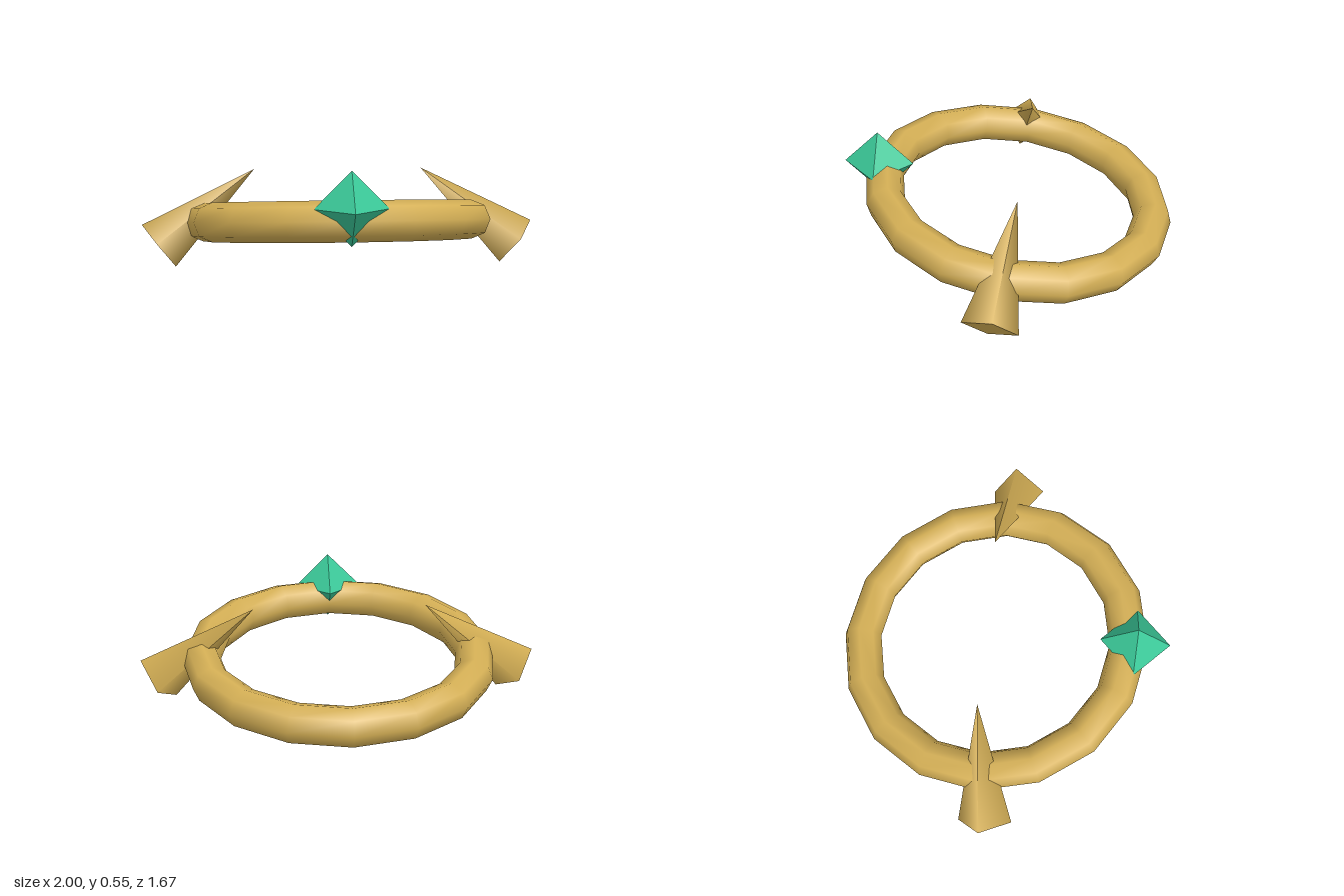
import * as THREE from 'three';

export function createModel() {
  const model = new THREE.Group();
  model.name = 'crown';

  const gold = new THREE.MeshStandardMaterial({ color: 0xd4af55 });
  gold.name = 'gold';
  const emerald = new THREE.MeshStandardMaterial({ color: 0x3ac898 });
  emerald.name = 'emerald green';

  function add(name, geometry, material, position, rotation = [0, 0, 0]) {
    const mesh = new THREE.Mesh(geometry, material);
    mesh.name = name;
    mesh.position.set(...position);
    mesh.rotation.set(...rotation);
    model.add(mesh);
  }

  // Circlet, tipped up at the front
  add('ring', new THREE.TorusGeometry(0.693, 0.097, 8, 16), gold,
    [0, 0.22, -0.048], [Math.PI / 2 - 0.144, 0, 0]);

  // Faceted jewel set in the front of the ring
  add('gem', new THREE.OctahedronGeometry(0.175), emerald, [0, 0.38, 0.665]);

  // Four-sided spikes, piercing the ring and leaning inward
  const spike = new THREE.ConeGeometry(0.136, 0.62, 4);
  for (const side of [1, -1]) {
    add(side > 0 ? 'leftSpike' : 'rightSpike', spike, gold,
      [side * 0.672, 0.298, -0.042], [-0.21, 0, side * 0.9]);
  }

  return model;
}
